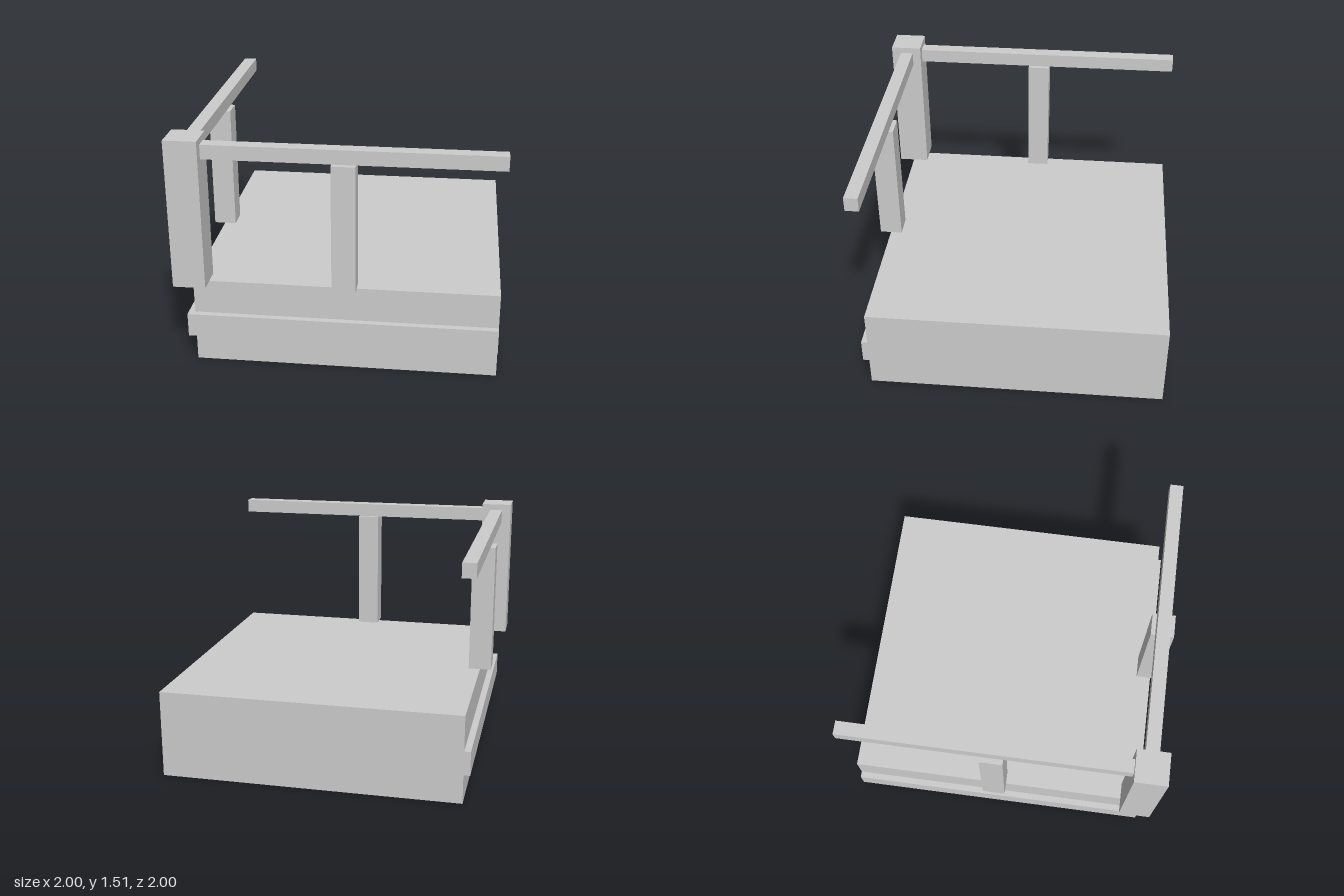
import * as THREE from 'three';

export function createModel() {
  const group = new THREE.Group();
  const stone = new THREE.MeshStandardMaterial({ color: 0xcccccc });
  stone.name = 'lightGrey';

  // Box given by its extents along each axis
  const block = (name, [x0, x1], [y0, y1], [z0, z1]) => {
    const mesh = new THREE.Mesh(new THREE.BoxGeometry(x1 - x0, y1 - y0, z1 - z0), stone);
    mesh.position.set((x0 + x1) / 2, (y0 + y1) / 2, (z0 + z1) / 2);
    mesh.name = name;
    group.add(mesh);
  };

  const deck = 0.56, railBottom = 1.38, railTop = 1.47;

  // Floor slab with a raised band around its two outer sides
  block('floorSlab', [-0.9, 1], [0, deck], [-1, 0.9]);
  block('frontBand', [-0.94, 1], [0.185, 0.338], [0.9, 0.94]);
  block('sideBand', [-0.94, -0.9], [0.185, 0.338], [-1, 0.9]);

  // Corner post
  block('cornerPost', [-1, -0.797], [deck, 1.51], [0.797, 1]);

  // Handrails running from the post
  block('frontRail', [-0.797, 1], [railBottom, railTop], [0.853, 0.938]);
  block('sideRail', [-0.938, -0.853], [railBottom, railTop], [-1, 0.797]);

  // One baluster under each rail
  block('frontBaluster', [-0.022, 0.124], [deck, railBottom], [0.825, 0.971]);
  block('sideBaluster', [-0.971, -0.825], [deck, railBottom], [-0.124, 0.022]);

  return group;
}
